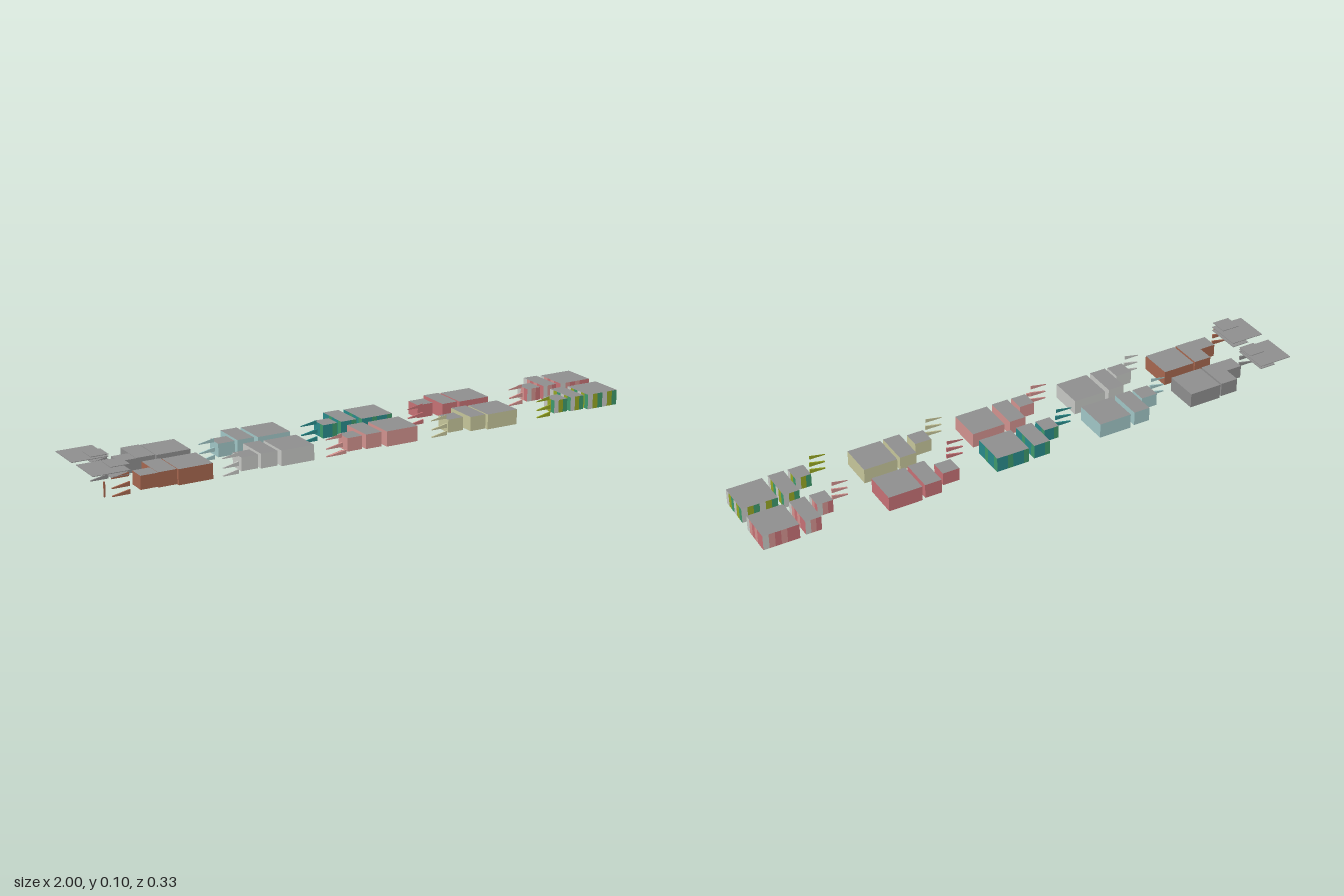
import * as THREE from 'three';

const mat = (name, color) => {
  const m = new THREE.MeshStandardMaterial({ color, side: THREE.DoubleSide });
  m.name = name;
  return m;
};

export function createModel() {
  const model = new THREE.Group();
  model.name = 'houseKits';

  const grey = mat('roofGrey', 0x8f8f8f), brown = mat('brown', 0xa86850);
  const pale = mat('paleGrey', 0xc8cac6), blue = mat('paleBlue', 0xa2c8c8);
  const pink = mat('pink', 0xd49490), teal = mat('teal', 0x2a8c8c);
  const beige = mat('beige', 0xc8c89c), red = mat('rose', 0xc87276);
  const green = mat('green', 0x3f9a6c), olive = mat('olive', 0x98a824);

  const add = (parent, name, geometry, material, x = 0, y = 0, z = 0) => {
    const mesh = new THREE.Mesh(geometry, material);
    mesh.name = name;
    mesh.position.set(x, y, z);
    parent.add(mesh);
    return mesh;
  };

  // One upright wall, split into equal vertical bands
  function wall(parent, cx, cz, width, turn, y0, y1, colours) {
    const side = new THREE.Group();
    side.name = 'wall';
    side.position.set(cx, (y0 + y1) / 2, cz);
    side.rotation.y = turn;
    const w = width / colours.length;
    colours.forEach((c, i) =>
      add(side, 'wallBand', new THREE.PlaneGeometry(w, y1 - y0), c, -width / 2 + w * (i + 0.5)));
    parent.add(side);
  }

  // Block with four walls and a flat roof, open underneath
  function block(parent, name, x0, x1, z0, z1, y0, y1, colours) {
    const g = new THREE.Group();
    g.name = name;
    const cx = (x0 + x1) / 2, cz = (z0 + z1) / 2, w = x1 - x0, d = z1 - z0;
    // narrow walls carry only half of the bands
    const bands = (len) => len > 0.09 ? colours : colours.slice(0, Math.ceil(colours.length / 2));
    wall(g, cx, z1, w, 0, y0, y1, bands(w));
    wall(g, x1, cz, d, Math.PI / 2, y0, y1, bands(d));
    wall(g, cx, z0, w, Math.PI, y0, y1, bands(w));
    wall(g, x0, cz, d, -Math.PI / 2, y0, y1, bands(d));
    add(g, 'flatRoof', new THREE.PlaneGeometry(w, d).rotateX(-Math.PI / 2), grey, cx, y1, cz);
    parent.add(g);
  }

  // Tapered strip, thin at its right end
  function wedge(parent, x0, x1, y0, y1, z, thick, material) {
    const s = new THREE.Shape([
      new THREE.Vector2(x0, y0), new THREE.Vector2(x1, y0),
      new THREE.Vector2(x1, y1), new THREE.Vector2(x0, y0 + 0.003)]);
    const geo = new THREE.ExtrudeGeometry(s, { depth: thick, bevelEnabled: false });
    add(parent, 'wedgeStrip', geo, material, 0, 0, z - thick / 2);
  }

  const stripes = [pale, olive, green, pale, olive, green];
  const rosy = [pale, pink, red, pink, red, red];
  const sea = [teal, teal, green, teal, teal, green];
  // Each column: x ranges of porch, middle, main and strips
  const columns = [
    { porch: [-0.84, -0.78], mid: [-0.78, -0.715], main: [-0.71, -0.59], strip: [-0.94, -0.88], front: [brown], back: [grey] },
    { porch: [-0.49, -0.43], mid: [-0.42, -0.36], main: [-0.345, -0.225], strip: [-0.56, -0.505], front: [pale], back: [blue] },
    { porch: [-0.10, -0.045], mid: [-0.03, 0.03], main: [0.05, 0.17], strip: [-0.185, -0.125], front: [pink], back: sea },
    { porch: [0.30, 0.36], mid: [0.38, 0.44], main: [0.45, 0.57], strip: [0.22, 0.28], front: [beige], back: [red] },
    { porch: [0.73, 0.785], mid: [0.80, 0.855], main: [0.875, 1.0], strip: [0.65, 0.705], front: stripes, back: rosy },
  ];

  columns.forEach((c, i) => {
    [true, false].forEach((isFront) => {
      const kit = new THREE.Group();
      kit.name = isFront ? 'frontKit' : 'backKit';
      const colours = isFront ? c.front : c.back;
      const lift = i === 3 ? 0 : 0.004;
      const shift = i === 3 ? (isFront ? -0.003 : 0.01) : 0;
      const z0 = (isFront ? 0.005 : -0.157) - shift, z1 = z0 + 0.122;
      // on the fourth column the porch stands back from the front wall
      const pz = z1 - (i === 3 ? (isFront ? 0.016 : 0.033) : 0);
      block(kit, 'porch', ...c.porch, pz - 0.06, pz, 0.008 + lift, 0.054 + lift, colours);
      block(kit, 'middleBlock', ...c.mid, z0, z1, 0.005 + lift, 0.055 + lift, colours);
      block(kit, 'mainBlock', ...c.main, z0, z1, lift, 0.053 + lift, colours);

      // wedge strips beside the blocks
      const tint = colours[Math.min(1, colours.length - 1)];
      const sz = isFront ? 0.136 : (i === 3 ? -0.013 : -0.031);
      wedge(kit, ...c.strip, 0.01, 0.025, sz, 0.005, tint);
      wedge(kit, ...c.strip, 0.036, 0.051, sz, 0.005, tint);
      wedge(kit, ...c.strip, 0.066, 0.08, sz - 0.004, 0.001, tint);
      if (i === 2 && isFront) wedge(kit, ...c.strip, 0.02, 0.033, 0.16, 0.005, tint);
      model.add(kit);
    });
  });

  // Loose roof plates stacked over the end strips
  const plates = [
    [-1, -0.875, 0.005, 0.134, 0.085], [-0.94, -0.875, 0.067, 0.131, 0.104],
    [-0.94, -0.875, 0.003, 0.133, 0.072],
    [-1, -0.875, -0.162, -0.032, 0.082], [-0.935, -0.875, -0.097, -0.033, 0.089],
    [-0.935, -0.875, -0.162, -0.032, 0.072],
  ];
  for (const [x0, x1, z0, z1, y] of plates) {
    add(model, 'roofPlate', new THREE.BoxGeometry(x1 - x0, 0.002, z1 - z0), grey,
      (x0 + x1) / 2, y, (z0 + z1) / 2);
  }

  // Slim porch post
  add(model, 'post', new THREE.BoxGeometry(0.005, 0.05, 0.005), brown, -0.96, 0.035, 0.125);

  return model;
}
